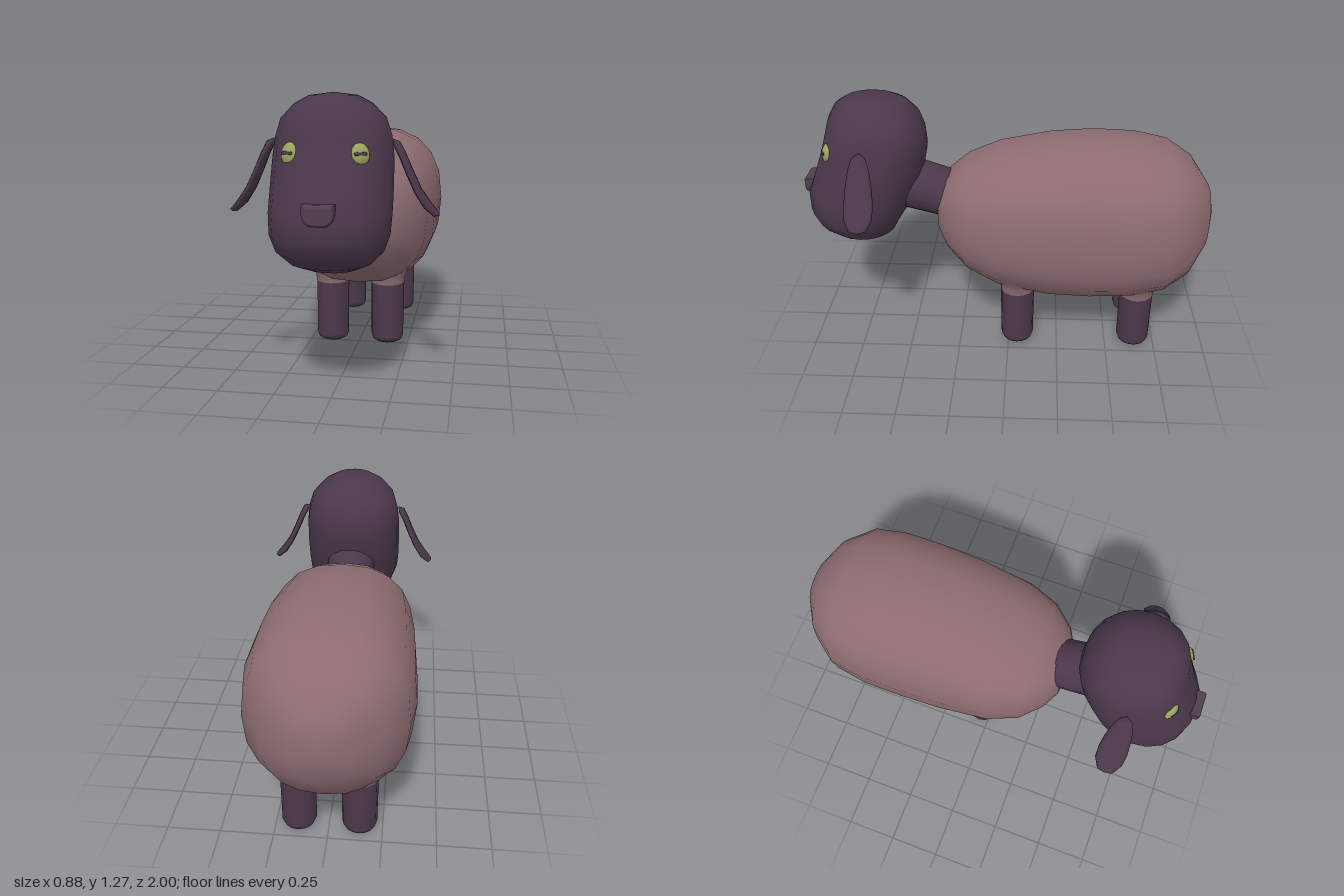
import * as THREE from 'three';
import { mergeVertices } from 'three/addons/utils/BufferGeometryUtils.js';

const mat = (name, color) => {
  const m = new THREE.MeshStandardMaterial({ color });
  m.name = name;
  return m;
};

// Smooth skin over closed rings of equally many points; collapsed end rings become poles
function loft(rings) {
  const n = rings[0].length, pos = rings.flat(2), index = [];
  for (let i = 0; i < rings.length - 1; i++) {
    for (let j = 0; j < n; j++) {
      const k = (j + 1) % n, a = i * n + j, b = i * n + k, c = a + n, d = b + n;
      index.push(a, c, b, b, c, d);
    }
  }
  let g = new THREE.BufferGeometry();
  g.setAttribute('position', new THREE.Float32BufferAttribute(pos, 3));
  g.setIndex(index);
  g = mergeVertices(g, 1e-5);
  g.computeVertexNormals();
  return g;
}

// Superellipse outline, mapped to 3D by place(u, v)
function ring(ru, rv, power, place, n = 20) {
  const s = (t) => Math.sign(t) * Math.pow(Math.abs(t), 2 / power);
  return Array.from({ length: n }, (_, j) => {
    const a = (j / n) * Math.PI * 2;
    return place(ru * s(Math.cos(a)), rv * s(Math.sin(a)));
  });
}

// Body stations: z, bottom, top, half width
const BODY = [
  [0.36, 0.68, 0.68, 0], [0.345, 0.58, 0.8, 0.12], [0.3, 0.5, 0.88, 0.2], [0.2, 0.4, 0.955, 0.29],
  [0.05, 0.325, 1.015, 0.345], [-0.2, 0.272, 1.065, 0.37], [-0.4, 0.265, 1.08, 0.378],
  [-0.6, 0.278, 1.072, 0.38], [-0.76, 0.312, 1.04, 0.355], [-0.88, 0.38, 0.965, 0.265],
  [-0.965, 0.51, 0.84, 0.135], [-1, 0.68, 0.68, 0],
];
const BODY_POWER = 2.4;

// Height of the belly surface at x, z
function bellyY(x, z) {
  const i = BODY.findIndex((s) => s[0] <= z), p = BODY[i - 1], q = BODY[i];
  const t = (p[0] - z) / (p[0] - q[0]);
  const [lo, hi, w] = [1, 2, 3].map((k) => p[k] + (q[k] - p[k]) * t);
  const f = Math.pow(1 - Math.pow(Math.abs(x) / w, BODY_POWER), 1 / BODY_POWER);
  return (lo + hi) / 2 - ((hi - lo) / 2) * f;
}

// Head stations: y, back z, front z, half width
const HEAD = [
  [0.54, 0.69, 0.69, 0], [0.552, 0.62, 0.79, 0.1], [0.585, 0.575, 0.88, 0.17], [0.64, 0.545, 0.95, 0.222],
  [0.71, 0.5, 0.985, 0.247], [0.8, 0.46, 0.985, 0.253], [0.9, 0.42, 0.945, 0.253],
  [1.02, 0.395, 0.9, 0.25], [1.1, 0.402, 0.875, 0.24], [1.17, 0.425, 0.855, 0.218],
  [1.23, 0.475, 0.82, 0.16], [1.262, 0.53, 0.77, 0.1], [1.275, 0.65, 0.65, 0],
];

// Ear stations from tip to root: x, y, half width, half thickness
const EAR = [
  [0.437, 0.778, 0, 0], [0.425, 0.785, 0.04, 0.013], [0.39, 0.82, 0.064, 0.016], [0.35, 0.88, 0.067, 0.014],
  [0.315, 0.955, 0.06, 0.014], [0.285, 1.025, 0.048, 0.014], [0.262, 1.07, 0.032, 0.015],
  [0.245, 1.09, 0, 0],
];

export function createModel() {
  const model = new THREE.Group();
  model.name = 'sheep';
  const wool = mat('dusty rose wool', 0x8e6d72);
  const skin = mat('dark plum skin', 0x4b384b);
  const noseMat = mat('plum nose', 0x513e50);
  const eyeMat = mat('olive eye', 0x9aa55c);
  const add = (name, geometry, material, parent = model) => {
    const m = new THREE.Mesh(geometry, material);
    m.name = name;
    parent.add(m);
    return m;
  };

  // Woolly body
  add('body', loft(BODY.map(([z, lo, hi, w]) =>
    ring(w, (hi - lo) / 2, BODY_POWER, (u, v) => [u, (lo + hi) / 2 + v, z]))), wool);

  // Neck and the wool collar at its base, along one tilted axis
  const along = (name, from, to, r0, r1, material) => {
    const a = new THREE.Vector3(...from), b = new THREE.Vector3(...to);
    const m = add(name, new THREE.CylinderGeometry(r1, r0, a.distanceTo(b), 16), material);
    m.position.copy(a).add(b).multiplyScalar(0.5);
    m.quaternion.setFromUnitVectors(new THREE.Vector3(0, 1, 0), b.sub(a).normalize());
  };
  along('neck', [0, 0.755, 0.26], [0, 0.85, 0.58], 0.118, 0.13, skin);
  along('collar', [0, 0.735, 0.2], [0, 0.77, 0.315], 0.16, 0.123, wool);

  // Head
  add('head', loft(HEAD.map(([y, back, front, w]) =>
    ring(w, (front - back) / 2, 2.15, (u, v) => [u, y, (front + back) / 2 + v]))), skin);

  // Nose: flat-topped rounded pad
  const pad = new THREE.Shape();
  pad.moveTo(-0.052, 0.03);
  pad.lineTo(0.052, 0.03);
  pad.bezierCurveTo(0.058, -0.015, 0.04, -0.03, 0.02, -0.03);
  pad.lineTo(-0.02, -0.03);
  pad.bezierCurveTo(-0.04, -0.03, -0.058, -0.015, -0.052, 0.03);
  const nose = add('nose', new THREE.ExtrudeGeometry(pad, {
    depth: 0.04, bevelEnabled: true, bevelSize: 0.011, bevelThickness: 0.012, bevelSegments: 3, curveSegments: 6,
  }), noseMat);
  nose.position.set(0, 0.818, 0.948);

  const legProfile = [[0, 0], [0.055, 0.002], [0.073, 0.012], [0.082, 0.035], [0.084, 0.32]];
  const cuffProfile = [[0.085, 0.3], [0.088, 0.33], [0.1, 0.36], [0.125, 0.4], [0.15, 0.45]];
  const lathe = (points) => new THREE.LatheGeometry(points.map((p) => new THREE.Vector2(...p)), 16);

  for (const side of [1, -1]) {
    const label = side > 0 ? 'left' : 'right';

    // Drooping ear
    add(label + 'Ear', loft(EAR.map(([x, y, w, t]) =>
      ring(t, w, 2, (u, v) => [side * x + u, y + u * 0.5 * side, 0.67 + v], 12))), skin);

    // Eye with a slit pupil
    const eye = new THREE.Group();
    eye.name = label + 'Eye';
    eye.position.set(side * 0.136, 1.038, 0.843);
    eye.lookAt(side * 0.136 + side * 0.4, 1.038 + 0.2, 0.843 + 0.9);
    model.add(eye);
    add('eyeball', new THREE.SphereGeometry(1, 14, 10), eyeMat, eye).scale.set(0.042, 0.048, 0.026);
    const slit = add('pupil', new THREE.CapsuleGeometry(0.007, 0.04, 3, 8), skin, eye);
    slit.rotation.z = Math.PI / 2;
    slit.scale.z = 0.6;
    slit.position.z = 0.024;

    for (const [end, z] of [['Front', -0.045], ['Back', -0.645]]) {
      // Leg with a flared wool cuff
      const leg = new THREE.Group();
      leg.name = label + end + 'Leg';
      leg.position.set(side * 0.142, 0, z);
      model.add(leg);
      add('shank', lathe(legProfile), skin, leg);
      const cuff = add('cuff', lathe(cuffProfile), wool, leg);
      cuff.position.y = end === 'Front' ? 0.01 : -0.005;

      // Dark belly patch following the wool surface
      const patch = new THREE.CircleGeometry(1, 16);
      const p = patch.attributes.position;
      for (let i = 0; i < p.count; i++) {
        const x = side * 0.13 + p.getX(i) * 0.06, pz = (end === 'Front' ? -0.2 : -0.465) + p.getY(i) * 0.082;
        p.setXYZ(i, x, bellyY(x, pz) - 0.008, pz);
      }
      patch.computeVertexNormals();
      add(label + end + 'BellyPatch', patch, skin);
    }
  }
  return model;
}
